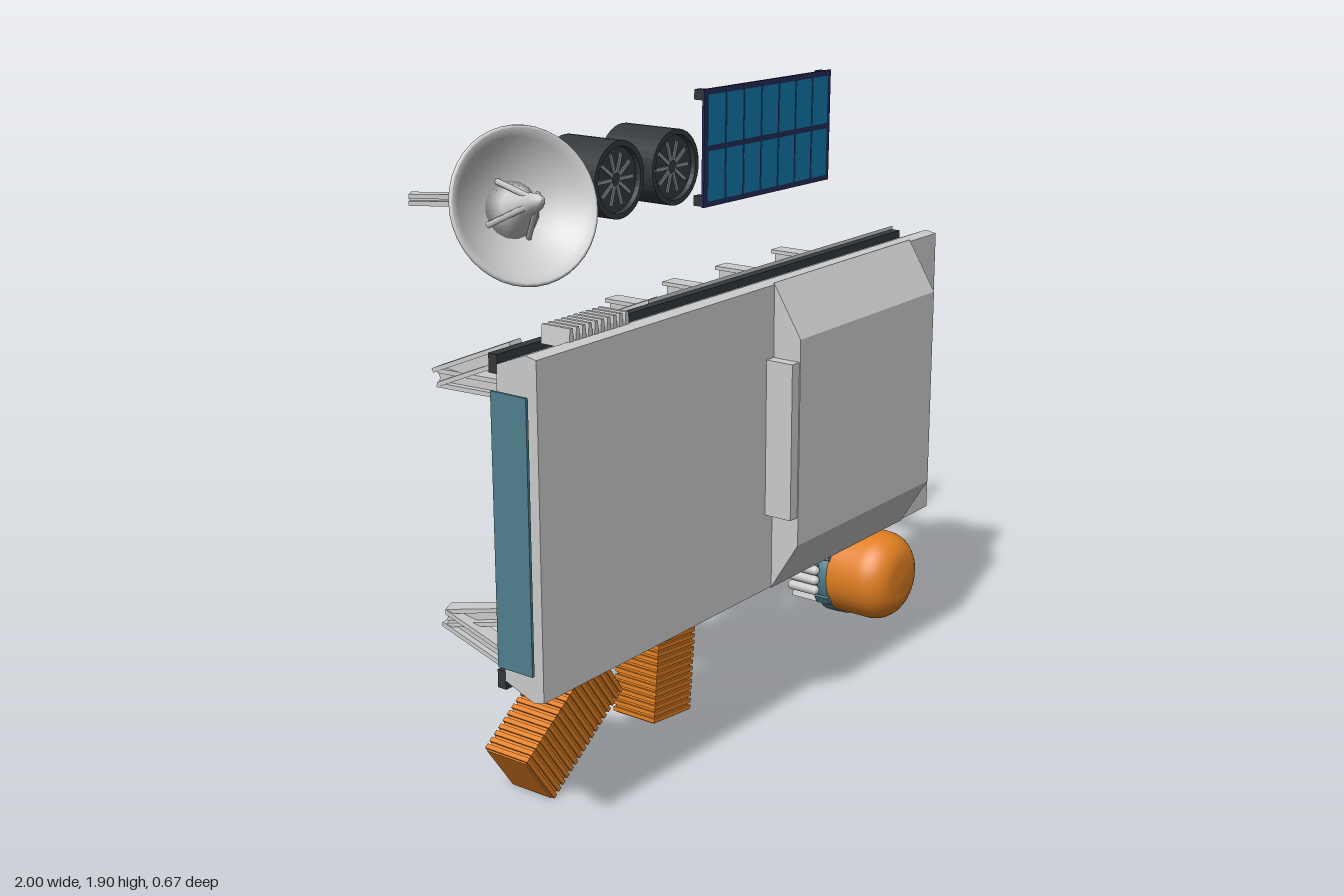
import * as THREE from 'three';
import { ConvexGeometry } from 'three/addons/geometries/ConvexGeometry.js';

const mat = (color, flat = false) =>
  new THREE.MeshStandardMaterial({ color, flatShading: flat, side: THREE.DoubleSide });
const grey = mat(0xcccccc), dark = mat(0x33383c), black = mat(0x141414), orange = mat(0xe07f22),
  teal = mat(0x4f7f8f), blue = mat(0x0f77a8), navy = mat(0x222c58);
const V = (x, y, z) => new THREE.Vector3(x, y, z);

function add(parent, name, geo, material, x = 0, y = 0, z = 0) {
  const m = new THREE.Mesh(geo, material);
  m.name = name;
  m.position.set(x, y, z);
  parent.add(m);
  return m;
}
// box given by its extents on each axis
function box(parent, name, material, x0, x1, y0, y1, z0, z1) {
  return add(parent, name, new THREE.BoxGeometry(x1 - x0, y1 - y0, z1 - z0), material,
    (x0 + x1) / 2, (y0 + y1) / 2, (z0 + z1) / 2);
}
function group(parent, name, x = 0, y = 0, z = 0) {
  const g = new THREE.Group();
  g.name = name;
  g.position.set(x, y, z);
  parent.add(g);
  return g;
}
// cylinder-like lathe turned so that its axis is z; points are [radius, z]
const latheZ = (pts, n = 32) =>
  new THREE.LatheGeometry(pts.map(p => new THREE.Vector2(p[0], p[1])), n).rotateX(Math.PI / 2);
// hull mirrored about the slab's mid height; points are [x, y above the middle, z]
const MID = 0.92;
const hullY = pts => new ConvexGeometry(pts.flatMap(([x, h, z]) => [V(x, MID + h, z), V(x, MID - h, z)]));

function iBeam(w, h, length, t = 0.012) {
  const a = w / 2, b = h / 2, s = t / 2;
  const pts = [[-a, -b], [a, -b], [a, -b + t], [s, -b + t], [s, b - t], [a, b - t],
    [a, b], [-a, b], [-a, b - t], [-s, b - t], [-s, -b + t], [-a, -b + t]];
  const shape = new THREE.Shape(pts.map(p => new THREE.Vector2(...p)));
  return new THREE.ExtrudeGeometry(shape, { depth: length, bevelEnabled: false });
}
function beamBetween(parent, name, a, b, w, h) {
  const m = add(parent, name, iBeam(w, h, a.distanceTo(b)), grey, a.x, a.y, a.z);
  m.lookAt(b);
  return m;
}

function building(root) {
  const g = group(root, 'building');
  // front slab with sloping long edges
  const slab = [];
  for (const x of [-0.97, 0.925]) slab.push([x, 0.45, 0.245], [x, 0.457, 0.21], [x, 0.42, 0.115]);
  add(g, 'frontSlab', hullY(slab), grey);
  box(g, 'seam', black, -0.9, 0.918, 0.53, 1.31, 0.085, 0.118);
  for (const y of [0.5, 1.34]) box(g, 'seamEdge', dark, -0.97, 0.918, y - 0.025, y + 0.025, 0.09, 0.118);
  // rear slab with chamfers and a ramp on its short end
  add(g, 'rearSlab', hullY([[-0.33, 0.455, 0.088], [0.925, 0.455, 0.088], [-0.01, 0.4, -0.015],
    [0.925, 0.4, -0.015], [0, 0.39, -0.03], [0.925, 0.39, -0.03]]), grey);
  // raised hatch with sloping long sides
  add(g, 'raisedRoof', hullY([[0.04, 0.455, 0.243], [0.77, 0.455, 0.243],
    [0.04, 0.305, 0.335], [0.77, 0.305, 0.335]]), grey);
  box(g, 'doorSill', grey, 0.005, 0.042, 0.7, 1.16, 0.24, 0.332);
  // dark louvres on the +x end
  for (const z of [0.045, 0.17]) {
    box(g, 'louvreOpening', black, 0.92, 0.928, 0.53, 1.31, z - 0.047, z + 0.047);
    for (let i = -2; i <= 2; i++)
      box(g, 'louvreSlat', black, 0.925, 0.932, 0.53, 1.31, z + i * 0.018 - 0.003, z + i * 0.018 + 0.003);
  }
  box(g, 'louvrePost', grey, 0.915, 0.932, 0.5, 1.34, 0.097, 0.12);
  // rib strip beside the dark rear panel, and the thin side plate
  for (let i = 0; i < 26; i++)
    box(g, 'rearRib', grey, -0.955, -0.915, 0.555 + i * 0.028, 0.567 + i * 0.028, 0.1, 0.117);
  box(g, 'sidePlate', teal, -1, -0.992, 0.55, 1.28, 0.12, 0.235);
  // row of pointed vent fins on the upper edge
  const fin = new THREE.Shape([[-0.011, 0], [0.011, 0], [0.005, 0.05], [-0.005, 0.05]]
    .map(p => new THREE.Vector2(...p)));
  const finGeo = new THREE.ExtrudeGeometry(fin, { depth: 0.092, bevelEnabled: false });
  for (let i = 0; i < 10; i++) add(g, 'ventFin', finGeo, grey, -0.8 + i * 0.0245, 1.36, 0.122);
  // rear beams in a grid
  const beam = iBeam(0.06, 0.06, 0.31);
  [0.033, 0.31, 0.583, 0.893].forEach((x, i) => {
    for (const y of [1.225, 0.955, i % 2 ? 0.71 : 0.675]) add(g, 'rearBeam', beam, grey, x, y, -0.335);
  });
  // V-shaped brackets at the four corners of the thin half
  for (const x of [-0.86, -0.3]) for (const s of [-1, 1]) {
    const foot = V(x - 0.03, MID + s * 0.33, -0.15);
    beamBetween(g, 'bracketArm', V(x, MID + s * 0.43, 0.09), foot, 0.05, 0.05);
    beamBetween(g, 'bracketBrace', V(x + 0.07, MID + s * 0.3, 0.09), foot, 0.05, 0.05);
  }
}

function dish(root) {
  const g = group(root, 'dishAntenna');
  const bowl = group(g, 'bowl', -0.817, 1.705, 0.085);
  bowl.lookAt(-0.817 - 0.4, 1.705 + 0.32, 0.085 + 0.95);
  const curve = [];
  for (let i = 0; i <= 10; i++) curve.push([0.198 * i / 10, -0.095 + 0.095 * (i / 10) ** 2]);
  const inner = curve.slice().reverse().map(([r, z]) => [r * 0.97, z + 0.008]);
  // lathe about z, with z growing toward the open side
  add(bowl, 'reflector', latheZ([...curve, ...inner], 40), grey);
  add(bowl, 'rim', new THREE.TorusGeometry(0.194, 0.007, 8, 40), grey);
  add(bowl, 'hub', latheZ([[0, -0.085], [0.075, -0.075], [0.05, -0.03], [0.03, 0.02], [0.022, 0.07],
    [0.012, 0.095], [0, 0.1]], 16), grey);
  for (let i = 0; i < 4; i++) {
    const a = i * Math.PI / 2 + 0.4;
    const path = new THREE.LineCurve3(V(0.08 * Math.cos(a), 0.08 * Math.sin(a), -0.07), V(0, 0, 0.08));
    add(bowl, 'feedStrut', new THREE.TubeGeometry(path, 1, 0.008, 6), grey);
  }
  box(g, 'pivotBox', dark, -0.82, -0.76, 1.66, 1.73, -0.155, 0.0);
  for (const x of [-0.9, -0.67])
    beamBetween(g, 'mountArm', V(-0.79, 1.7, -0.06), V(x, 1.7, -0.225), 0.035, 0.03);
}

function fan(root, x) {
  const g = group(root, 'fanDrum', x, 1.7, -0.0625);
  add(g, 'drum', latheZ([[0, -0.078], [0.088, -0.078], [0.09, -0.0925], [0.105, -0.0925], [0.105, 0.0925],
    [0.09, 0.0925], [0.088, 0.078], [0, 0.078]], 36), mat(0x33383c, true));
  for (const z of [-0.08, 0.08]) for (let i = 0; i < 10; i++) {
    const blade = add(g, 'fanBlade', new THREE.BoxGeometry(0.055, 0.01, 0.004).translate(0.045, 0, 0),
      mat(0x8a8f92), 0, 0, z);
    blade.rotation.z = i * Math.PI / 5;
  }
}

function solarPanel(root) {
  const g = group(root, 'solarPanel', 0.53, 1.688, -0.12);
  g.rotation.z = -0.014;
  add(g, 'panelFrame', new THREE.BoxGeometry(0.665, 0.345, 0.008), navy);
  for (let i = 0; i < 7; i++) for (const s of [-1, 1])
    add(g, 'solarCell', new THREE.BoxGeometry(0.083, 0.148, 0.011), blue, (i - 3) * 0.091, s * 0.082, 0);
  for (const x of [-0.315, 0.315]) for (const y of [-0.155, 0.155])
    add(g, 'cornerClip', new THREE.BoxGeometry(0.03, 0.03, 0.03), dark, x, y, -0.02);
}

function container(root, x, y, angle, length, width) {
  const g = group(root, 'container', x, y, -0.077);
  g.rotation.z = angle;
  add(g, 'containerBody', new THREE.BoxGeometry(length, width - 0.012, 0.142), orange);
  const n = 17, step = length / n;
  for (let i = 0; i < n; i++)
    add(g, 'containerRib', new THREE.BoxGeometry(step * 0.6, width, 0.154), orange,
      (i - (n - 1) / 2) * step, 0, 0);
}

function tank(root) {
  const g = group(root, 'tank', 0.845, 0.23, 0);
  const dome = [[0.146, -0.02], [0.146, 0.12]];
  for (let i = 1; i <= 8; i++) {
    const a = i / 8 * Math.PI / 2;
    dome.push([0.06 + 0.086 * Math.cos(a), 0.12 + 0.09 * Math.sin(a)]);
  }
  dome.push([0, 0.214]);
  add(g, 'tankShell', latheZ(dome, 36), orange);
  add(g, 'clampRing', latheZ([[0.14, -0.028], [0.152, -0.028], [0.152, 0.01], [0.14, 0.01]], 36), teal);
  add(g, 'tankBase', latheZ([[0, -0.115], [0.06, -0.108], [0.105, -0.085], [0.135, -0.05], [0.146, -0.015]], 36),
    dark);
  // scalloped star foot
  const star = new THREE.Shape(), n = 8;
  for (let i = 0; i <= n; i++) {
    const a = i / n * Math.PI * 2, p = r => [r * Math.cos(a), r * Math.sin(a)];
    const m = a - Math.PI / n;
    if (i === 0) star.moveTo(...p(0.147));
    else star.quadraticCurveTo(0.075 * Math.cos(m), 0.075 * Math.sin(m), ...p(0.147));
  }
  add(g, 'starFoot', new THREE.ExtrudeGeometry(star, { depth: 0.115, bevelEnabled: false, curveSegments: 6 }),
    grey, 0, 0, -0.15);
  for (let i = 0; i < 6; i++) {
    const a = i * Math.PI / 3 + Math.PI / 6;
    const c = add(g, 'clamp', new THREE.BoxGeometry(0.022, 0.03, 0.05), teal,
      0.148 * Math.cos(a), 0.148 * Math.sin(a), -0.01);
    c.rotation.z = a;
  }
  // small bottles on the side
  add(g, 'bottleBracket', new THREE.BoxGeometry(0.03, 0.09, 0.06), teal, -0.145, 0, -0.05);
  for (let i = -1; i <= 1; i++)
    add(g, 'bottle', new THREE.CapsuleGeometry(0.016, 0.085, 6, 12).rotateX(Math.PI / 2), grey,
      -0.172, i * 0.034, -0.06);
}

export function createModel() {
  const root = new THREE.Group();
  root.name = 'baseModule';
  building(root);
  dish(root);
  fan(root, -0.375);
  fan(root, -0.13);
  solarPanel(root);
  container(root, -0.557, 0.187, 0.62, 0.388, 0.19);
  container(root, -0.098, 0.217, Math.PI / 2 - 0.1, 0.348, 0.178);
  tank(root);
  return root;
}
